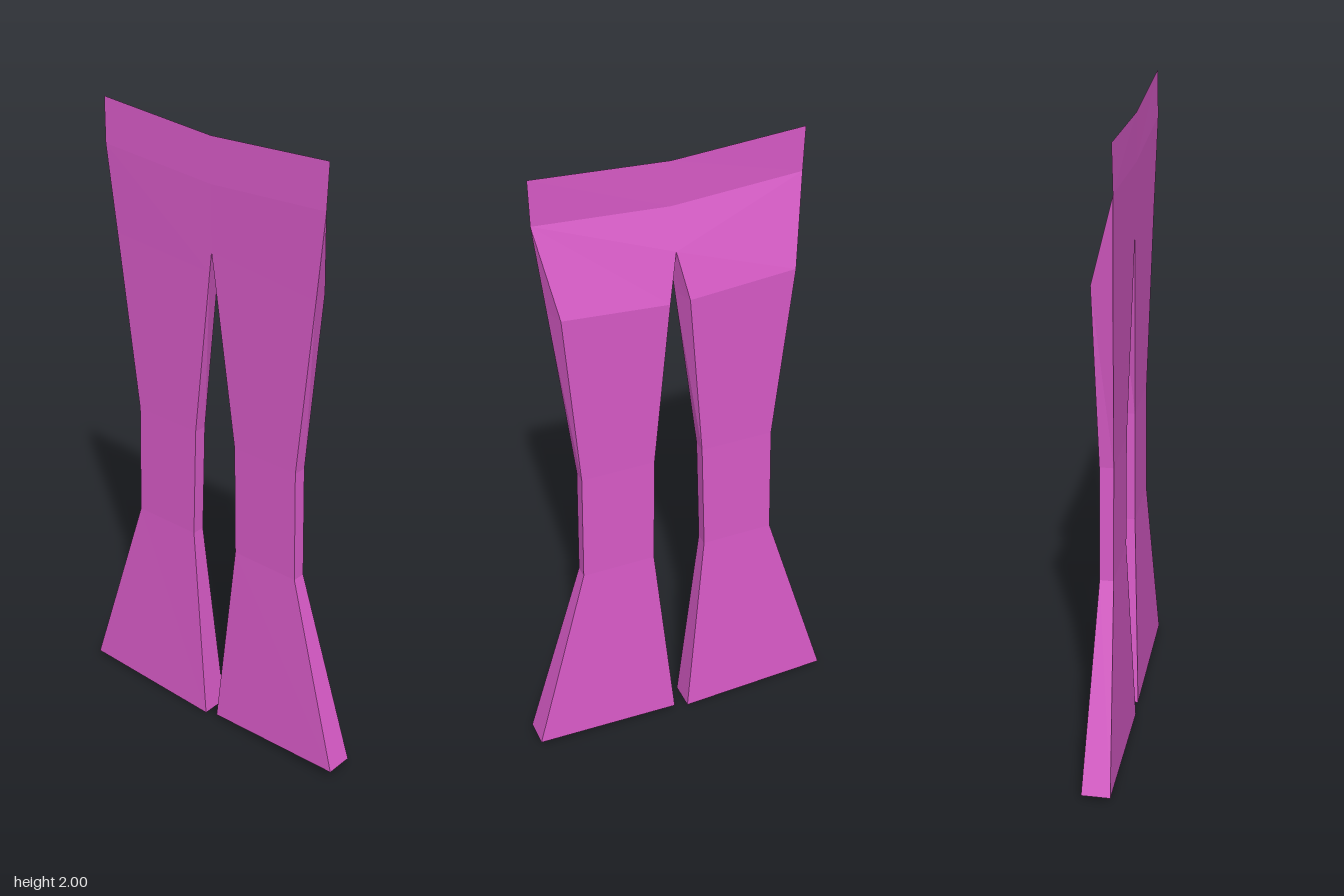
import * as THREE from 'three';

const material = new THREE.MeshStandardMaterial({
  color: 0xd95bc8, flatShading: true, side: THREE.DoubleSide,
});

// Faces are corner loops, split into triangle fans
function meshFromFaces(name, faces, flip) {
  const pos = [];
  for (const f of faces) {
    const loop = flip ? [...f].reverse() : f;
    for (let i = 1; i < loop.length - 1; i++) pos.push(...loop[0], ...loop[i], ...loop[i + 1]);
  }
  const geo = new THREE.BufferGeometry();
  geo.setAttribute('position', new THREE.Float32BufferAttribute(pos, 3));
  geo.computeVertexNormals();
  const mesh = new THREE.Mesh(geo, material);
  mesh.name = name;
  return mesh;
}

// Shared points at the waist and crotch
const waistMid = [-0.039, 1.835, 0.005];
const crotchFront = [-0.003, 1.71, 0.005];
const crotchBack = [-0.035, 1.63, 0.005];

// Cross-section corners: outer front, inner front, inner back, outer back
const ring = ({ yo, yi, xf, xb, zo, zi, bo = zo, bi = zi }) => [
  [xf, yo, zo], [xf, yi, zi], [xb, yi, bi], [xb, yo, bo],
];

function leg(name, waistOuter, sections, flip) {
  const rings = [
    [waistOuter, crotchFront, crotchBack, waistOuter],
    ...sections.map(ring),
  ];
  // Hip panels that meet the waistband
  const faces = [
    [waistOuter, crotchFront, waistMid],
    [waistOuter, waistMid, crotchBack],
  ];
  for (let i = 0; i < rings.length - 1; i++) {
    const a = rings[i], b = rings[i + 1];
    for (let j = 0; j < 4; j++) {
      const k = (j + 1) % 4;
      if (a[j] === a[k]) faces.push([a[j], b[j], b[k]]);
      else faces.push([a[j], b[j], b[k], a[k]]);
    }
  }
  // Hem
  faces.push([...rings[rings.length - 1]].reverse());
  return meshFromFaces(name, faces, flip);
}

export function createModel() {
  const group = new THREE.Group();
  group.name = 'flaredTrousers';

  const waistA = [-0.04, 1.86, 0.413];
  const waistB = [-0.04, 1.86, -0.397];

  // Thin waistband sheet with a dip in the middle
  const topMid = [-0.037, 1.975, 0.005];
  group.add(meshFromFaces('waistband', [
    [[-0.037, 2, 0.417], waistA, waistMid, topMid],
    [topMid, waistMid, waistB, [-0.037, 2, -0.4]],
  ]));

  // Legs: hip, upper knee, lower knee, flared hem
  group.add(leg('frontLeg', waistA, [
    { yo: 1.59, yi: 1.565, xf: 0.03, xb: -0.034, zo: 0.363, zi: 0.037, bo: 0.382, bi: 0.014 },
    { yo: 1.02, yi: 1.02, xf: 0.018, xb: -0.024, zo: 0.317, zi: 0.085 },
    { yo: 0.655, yi: 0.655, xf: 0.018, xb: -0.024, zo: 0.323, zi: 0.09 },
    { yo: 0.03, yi: 0.015, xf: 0.044, xb: -0.045, zo: 0.5, zi: 0.032 },
  ], false));
  group.add(leg('backLeg', waistB, [
    { yo: 1.59, yi: 1.565, xf: 0.03, xb: -0.034, zo: -0.354, zi: -0.024, bo: -0.366, bi: -0.003 },
    { yo: 1.02, yi: 1.02, xf: 0.018, xb: -0.024, zo: -0.3, zi: -0.07 },
    { yo: 0.655, yi: 0.655, xf: 0.018, xb: -0.024, zo: -0.307, zi: -0.08 },
    { yo: 0.02, yi: 0, xf: 0.044, xb: -0.045, zo: -0.498, zi: -0.014 },
  ], true));

  return group;
}
